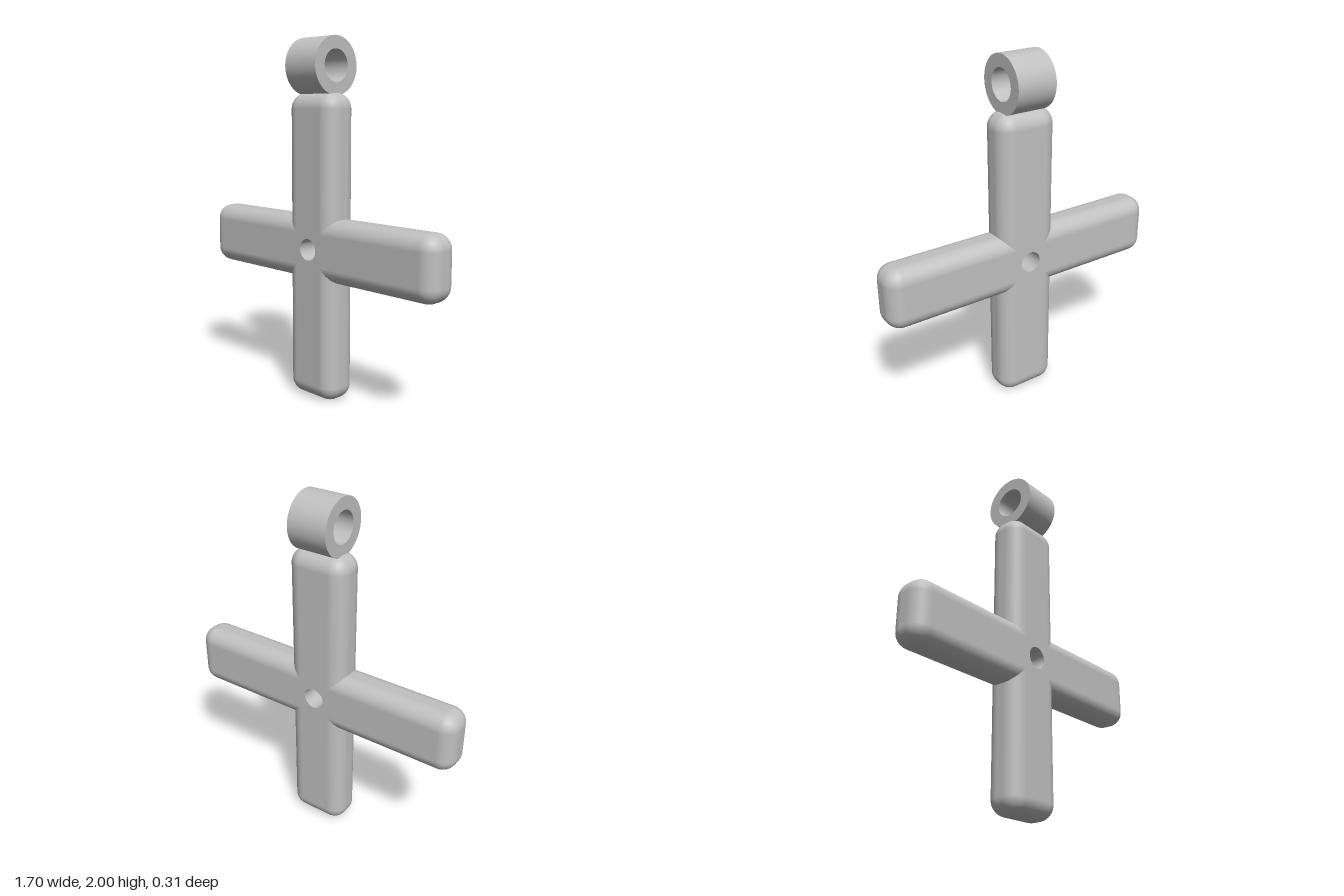
import * as THREE from 'three';
import { mergeGeometries } from 'three/addons/utils/BufferGeometryUtils.js';

const LENGTH = 0.851, HALF_WIDTH = 0.175, HALF_DEPTH = 0.104, FILLET = 0.085;
const CENTRE_Y = 0.852, HOLE = 0.06;
const CORE = HALF_WIDTH - FILLET; // half width of the flat face

// Revolved profile whose every segment keeps its own sharp edges
function revolve(points) {
  const parts = [];
  for (let i = 0; i + 1 < points.length; i++) {
    const pair = [points[i], points[i + 1]].map(([r, y]) => new THREE.Vector2(r, y));
    parts.push(new THREE.LatheGeometry(pair, 72));
  }
  return mergeGeometries(parts);
}

// Rounded rim of one arm pointing along +x, mitred where it meets its neighbours
function armRim() {
  const steps = 10, tip = LENGTH - FILLET;
  // each entry: base point, outward travel, normal
  const outline = [{ base: [CORE, -CORE], move: [1, -1], normal: [0, -1] }];
  for (const side of [-1, 1]) {
    for (let i = 0; i <= steps; i++) {
      const a = (Math.PI / 2) * (i / steps + (side < 0 ? -1 : 0));
      const dir = [Math.cos(a), Math.sin(a)];
      outline.push({ base: [tip, side * CORE], move: dir, normal: dir });
    }
  }
  outline.push({ base: [CORE, CORE], move: [1, 1], normal: [0, 1] });

  // quarter round in front, straight wall, quarter round behind
  const layers = [];
  for (const side of [1, -1]) {
    for (let i = 0; i <= steps; i++) {
      const a = (Math.PI / 2) * (i / steps + (side < 0 ? 1 : 0));
      layers.push({ sin: Math.sin(a), cos: Math.cos(a), z: side * (HALF_DEPTH - FILLET) });
    }
  }

  const positions = [], normals = [], index = [];
  const n = outline.length;
  layers.forEach(({ sin, cos, z }, j) => {
    outline.forEach(({ base, move, normal }, i) => {
      const d = FILLET * sin;
      positions.push(base[0] + move[0] * d, base[1] + move[1] * d, z + FILLET * cos);
      normals.push(normal[0] * sin, normal[1] * sin, cos);
      if (j + 1 < layers.length && i + 1 < n) {
        const a = j * n + i, b = a + 1, c = a + n, e = c + 1;
        index.push(a, c, b, b, c, e);
      }
    });
  });
  const geometry = new THREE.BufferGeometry();
  geometry.setAttribute('position', new THREE.Float32BufferAttribute(positions, 3));
  geometry.setAttribute('normal', new THREE.Float32BufferAttribute(normals, 3));
  geometry.setIndex(index);
  return geometry;
}

// Flat cross-shaped face with the round hole in its middle
function crossFace() {
  const t = LENGTH - FILLET, c = CORE;
  const shape = new THREE.Shape([
    [t, -c], [t, c], [c, c], [c, t], [-c, t], [-c, c],
    [-t, c], [-t, -c], [-c, -c], [-c, -t], [c, -t], [c, -c],
  ].map(([x, y]) => new THREE.Vector2(x, y)));
  shape.holes.push(new THREE.Path().absarc(0, 0, HOLE, 0, Math.PI * 2, true));
  return new THREE.ShapeGeometry(shape, 36);
}

export function createModel() {
  const model = new THREE.Group();
  const metal = new THREE.MeshStandardMaterial({ color: 0xc0c0c0 });
  metal.name = 'light grey metal';

  const add = (parent, name, geometry) => {
    const mesh = new THREE.Mesh(geometry, metal);
    mesh.name = name;
    parent.add(mesh);
    return mesh;
  };

  // Cross body
  const cross = new THREE.Group();
  cross.name = 'cross';
  cross.position.y = CENTRE_Y;
  model.add(cross);

  const rim = armRim();
  ['leftArm', 'topArm', 'rightArm', 'bottomArm'].forEach((name, i) => {
    add(cross, name, rim).rotation.z = (i * Math.PI) / 2;
  });

  const face = crossFace();
  add(cross, 'frontFace', face).position.z = HALF_DEPTH;
  const back = add(cross, 'backFace', face);
  back.position.z = -HALF_DEPTH;
  back.rotation.y = Math.PI;

  // Wall of the hole, facing inwards
  const wall = revolve([[HOLE, HALF_DEPTH], [HOLE, -HALF_DEPTH]]);
  add(cross, 'centreHole', wall.rotateX(Math.PI / 2));

  // Hanging ring on top
  const outer = 0.156, inner = 0.087, half = 0.115;
  const ring = revolve([[outer, -half], [outer, half], [inner, half], [inner, -half], [outer, -half]]);
  add(model, 'hangingRing', ring.rotateZ(Math.PI / 2)).position.y = 2 - outer;

  return model;
}
